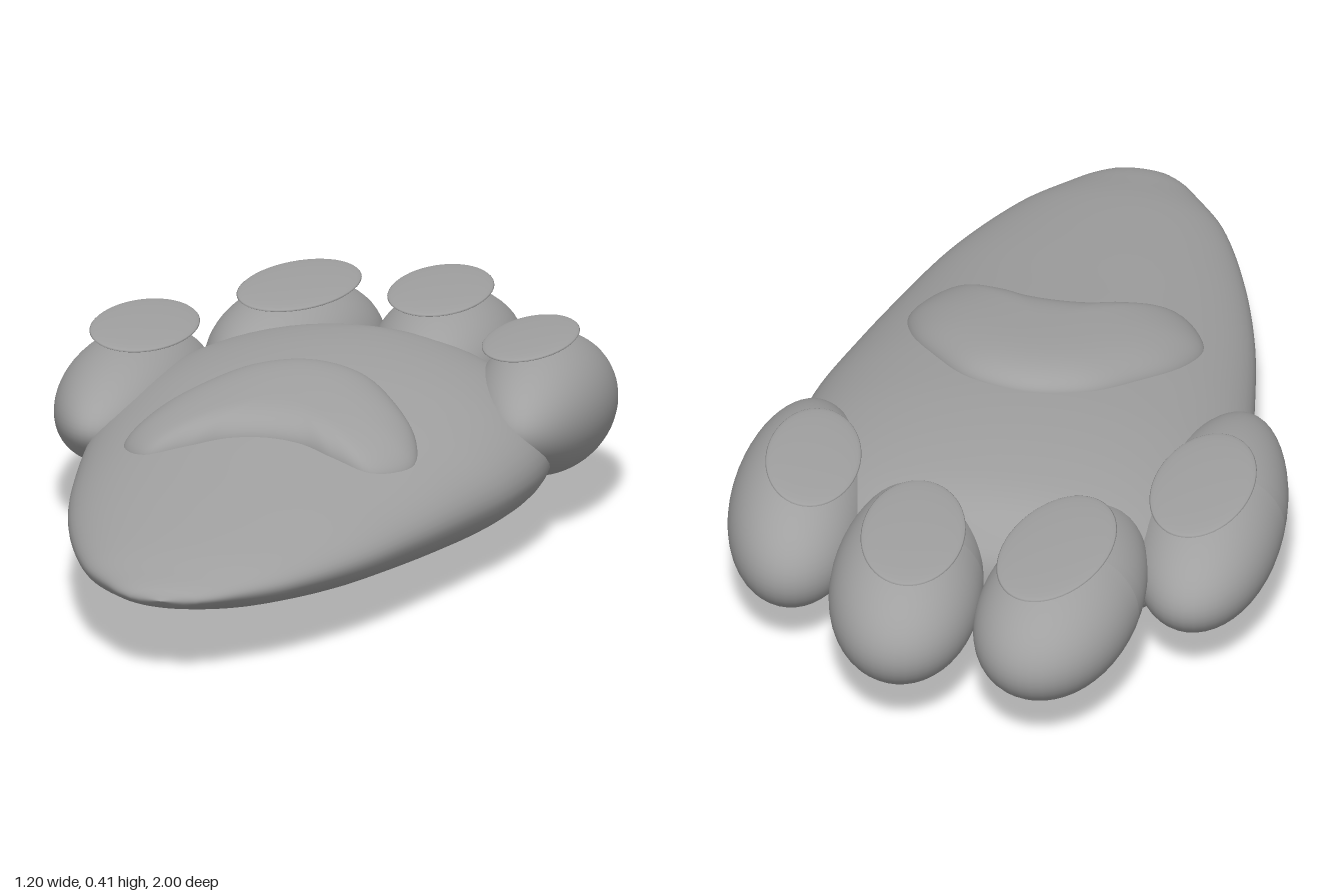
import * as THREE from 'three';

const grey = new THREE.MeshStandardMaterial({ color: 0xa0a0a0 });
grey.name = 'grey';

// Sole sections: z, centre x, half width, top y, bottom y
const MID = 0.18;
const SECTIONS = [
  [1, -0.02, 0, 0.18, 0.18],
  [0.98, -0.02, 0.075, 0.2, 0.162],
  [0.9, -0.015, 0.158, 0.223, 0.135],
  [0.8, -0.01, 0.235, 0.246, 0.11],
  [0.6, 0, 0.33, 0.28, 0.075],
  [0.4, 0.005, 0.395, 0.311, 0.047],
  [0.2, 0.015, 0.445, 0.342, 0.025],
  [0, 0.025, 0.485, 0.368, 0.009],
  [-0.2, 0.027, 0.497, 0.385, 0.001],
  [-0.4, 0.02, 0.46, 0.383, 0.018],
  [-0.54, 0.01, 0.37, 0.36, 0.055],
  [-0.62, 0, 0.25, 0.3, 0.1],
  [-0.65, 0, 0.14, 0.25, 0.135],
  [-0.66, 0, 0, 0.18, 0.18],
];

// Smooth interpolation of the sole sections at any z
function section(z) {
  const S = SECTIONS, last = S.length - 1;
  let i = 0;
  while (i < last - 1 && z < S[i + 1][0]) i++;
  const slope = (k, c) => {
    const p = S[Math.max(k - 1, 0)], q = S[Math.min(k + 1, last)];
    return (q[c] - p[c]) / (q[0] - p[0]);
  };
  const h = S[i + 1][0] - S[i][0], t = (z - S[i][0]) / h;
  const t2 = t * t, t3 = t2 * t;
  return [1, 2, 3, 4].map((c) =>
    S[i][c] * (2 * t3 - 3 * t2 + 1) + S[i + 1][c] * (3 * t2 - 2 * t3) +
    h * (slope(i, c) * (t3 - 2 * t2 + t) + slope(i + 1, c) * (t3 - t2)));
}

function soleTop(x, z) {
  const [xc, w, top] = section(z);
  return MID + (top - MID) * Math.sqrt(Math.max(0, 1 - ((x - xc) / w) ** 2));
}

// Surface through closed rings; point(u, v) with u along the rings, v around
function ringSurface(rings, sides, point) {
  const pos = [], index = [];
  for (let i = 0; i <= rings; i++) {
    for (let j = 0; j < sides; j++) {
      pos.push(...point(i / rings, j / sides));
      if (i === rings) continue;
      const a = i * sides + j, b = i * sides + (j + 1) % sides;
      index.push(a, a + sides, b, b, a + sides, b + sides);
    }
  }
  const geo = new THREE.BufferGeometry();
  geo.setAttribute('position', new THREE.Float32BufferAttribute(pos, 3));
  geo.setIndex(index);
  geo.computeVertexNormals();
  return geo;
}

function add(group, name, geo) {
  const mesh = new THREE.Mesh(geo, grey);
  mesh.name = name;
  group.add(mesh);
  return mesh;
}

// Egg shape, narrower and slightly raised towards the front
function toeGeometry() {
  const geo = new THREE.SphereGeometry(1, 48, 32);
  const p = geo.attributes.position;
  for (let i = 0; i < p.count; i++) {
    const z = p.getZ(i), k = 1 - 0.13 * z;
    p.setXYZ(i, p.getX(i) * k, p.getY(i) * k + 0.12 * z, z);
  }
  geo.computeVertexNormals();
  return geo;
}

export function createModel() {
  const model = new THREE.Group();
  model.name = 'paw';

  // Sole, tapering to the front
  add(model, 'sole', ringSurface(72, 64, (u, v) => {
    const z = 0.17 + 0.83 * Math.cos(u * Math.PI);
    const [xc, w, top, bottom] = section(z);
    const a = v * Math.PI * 2, s = Math.sin(a);
    const y = MID + s * (s > 0 ? top - MID : MID - bottom);
    return [xc + Math.max(w, 0) * Math.cos(a), y, z];
  }));

  // Bean-shaped main pad, domed over the sole
  const cx = 0.012, cz = 0.09;
  const half = [[0.13, -0.105], [0.23, 0], [0.305, 0.12], [0.325, 0.23],
    [0.255, 0.318], [0.165, 0.298], [0.085, 0.262]];
  const outline = [[0, -0.145], ...half, [0, 0.25],
    ...half.map(([x, z]) => [-x, z]).reverse()];
  const curve = new THREE.CatmullRomCurve3(
    outline.map(([x, z]) => new THREE.Vector3(x + cx, 0, z)), true);
  add(model, 'mainPad', ringSurface(20, 96, (u, v) => {
    const r = Math.cos(u * Math.PI / 2), p = curve.getPoint(v);
    const x = cx + (p.x - cx) * r, z = cz + (p.z - cz) * r;
    return [x, soleTop(x, z) - 0.008 + 0.054 * Math.sqrt(1 - r ** 4), z];
  }));

  // Toes: centre, radii, yaw; pads: centre, radii, roll
  const toes = [
    { name: 'rightOuter', at: [-0.443, 0.225, -0.318], size: [0.155, 0.134, 0.353], yaw: 0,
      pad: [-0.433, 0.366, -0.395], padSize: [0.112, 0.2], roll: -0.06 },
    { name: 'rightInner', at: [-0.187, 0.243, -0.695], size: [0.17, 0.142, 0.305], yaw: -0.14,
      pad: [-0.173, 0.384, -0.715], padSize: [0.118, 0.208], roll: -0.03 },
    { name: 'leftInner', at: [0.16, 0.247, -0.695], size: [0.165, 0.145, 0.305], yaw: 0.1,
      pad: [0.141, 0.393, -0.73], padSize: [0.113, 0.199], roll: 0.02 },
    { name: 'leftOuter', at: [0.446, 0.24, -0.44], size: [0.151, 0.148, 0.31], yaw: 0.08,
      pad: [0.412, 0.38, -0.475], padSize: [0.103, 0.184], roll: 0.08 },
  ];
  const toeShape = toeGeometry();
  const padShape = new THREE.SphereGeometry(1, 48, 16);
  for (const t of toes) {
    const toe = add(model, t.name + 'Toe', toeShape);
    toe.position.set(...t.at);
    toe.scale.set(...t.size);
    toe.rotation.y = t.yaw;
    const pad = add(model, t.name + 'ToePad', padShape);
    pad.position.set(...t.pad);
    pad.scale.set(t.padSize[0], 0.011, t.padSize[1]);
    pad.rotation.set(0, t.yaw, t.roll, 'ZYX');
  }
  return model;
}
